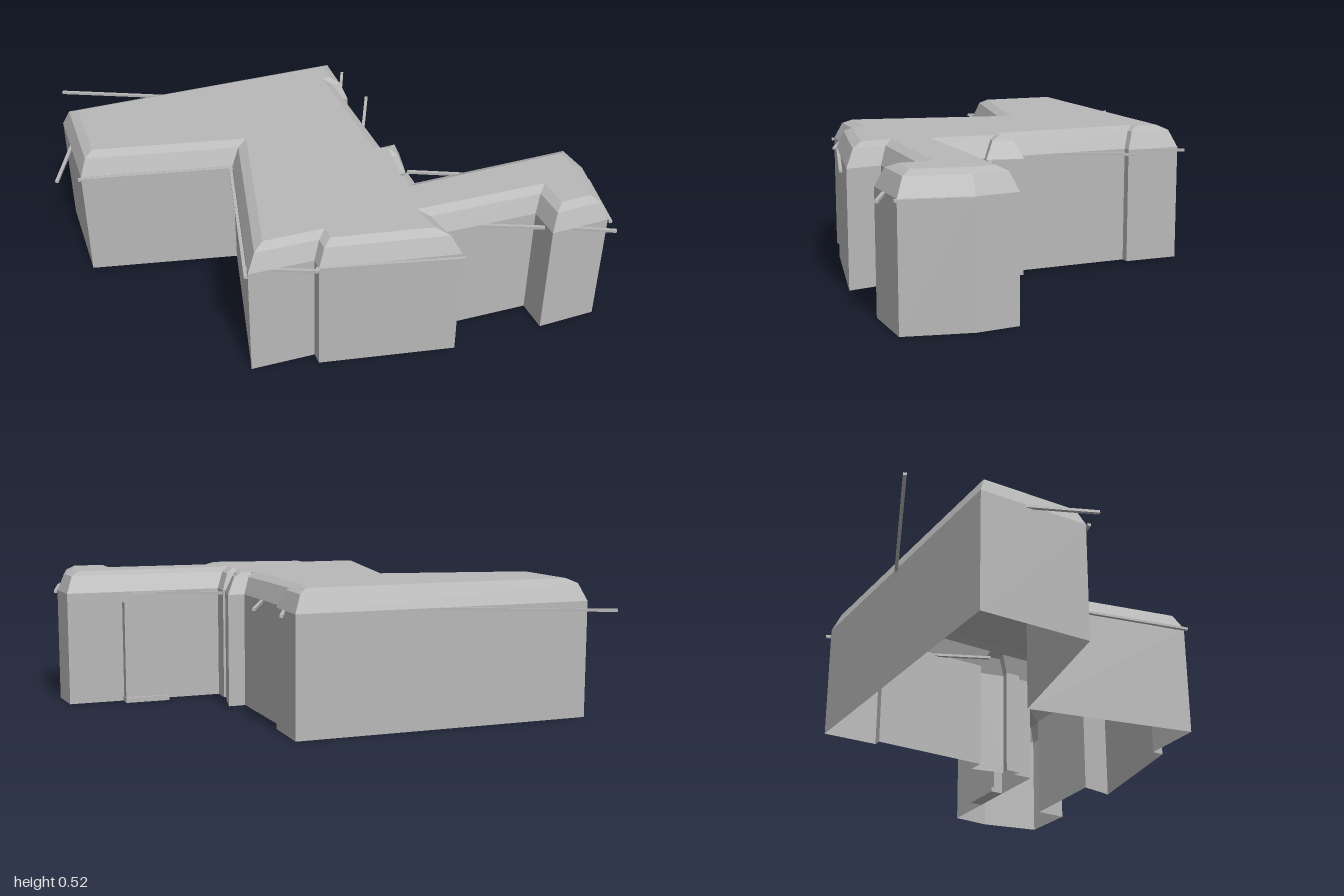
import * as THREE from 'three';

// Building outline on the ground as [x, z], inside lying to the right of travel
const OUTLINE = [
  [-0.985, -0.41], [0.145, -0.655], [0.185, -0.447], [0.155, -0.44],
  [0.255, 0.005], [0.32, -0.012], [0.32, 0.128], [0.282, 0.128],
  [0.295, 0.19], [0.325, 0.178], [0.34, 0.255], [0.94, 0.122],
  [0.985, 0.27], [0.985, 0.515], [0.765, 0.568], [0.737, 0.445],
  [0.37, 0.515], [0.42, 0.64], [-0.085, 0.652], [-0.095, 0.607],
  [-0.33, 0.652], [-0.33, -0.01], [-0.905, -0.01],
];
const EAVE = 0.44, BREAK = 0.505, TOP = 0.522;

// Unit normal pointing into the building for the edge a-b
function inward(a, b) {
  const dx = b[0] - a[0], dz = b[1] - a[1], l = Math.hypot(dx, dz);
  return [-dz / l, dx / l];
}

// Mitred inset of the outline
function inset(points, d) {
  const n = points.length;
  return points.map((p, i) => {
    const u = inward(points[(i + n - 1) % n], p);
    const v = inward(p, points[(i + 1) % n]);
    const k = d / (1 + u[0] * v[0] + u[1] * v[1]);
    return [p[0] + (u[0] + v[0]) * k, p[1] + (u[1] + v[1]) * k];
  });
}

// Closed band of flat quads between two rings
function band(low, y0, high, y1) {
  const pos = [];
  low.forEach((a, i) => {
    const j = (i + 1) % low.length, b = low[j], A = high[i], B = high[j];
    pos.push(a[0], y0, a[1], A[0], y1, A[1], b[0], y0, b[1]);
    pos.push(b[0], y0, b[1], A[0], y1, A[1], B[0], y1, B[1]);
  });
  const g = new THREE.BufferGeometry();
  g.setAttribute('position', new THREE.Float32BufferAttribute(pos, 3));
  g.computeVertexNormals();
  return g;
}

export function createModel() {
  const model = new THREE.Group();
  model.name = 'building';
  const grey = new THREE.MeshStandardMaterial({ color: 0xb8b8b8, side: THREE.DoubleSide });
  grey.name = 'plainGrey';
  const add = (name, geometry, parent = model) => {
    const mesh = new THREE.Mesh(geometry, grey);
    mesh.name = name;
    parent.add(mesh);
    return mesh;
  };

  // Walls, open underneath, and the two-pitch roof
  const ringA = inset(OUTLINE, 0.027), ringB = inset(OUTLINE, 0.06);
  add('walls', band(OUTLINE, 0, OUTLINE, EAVE));
  add('lowerRoof', band(OUTLINE, EAVE, ringA, BREAK));
  add('upperRoof', band(ringA, BREAK, ringB, TOP));
  const cap = new THREE.ShapeGeometry(
    new THREE.Shape(ringB.map(([x, z]) => new THREE.Vector2(x, -z))));
  add('flatRoof', cap.rotateX(-Math.PI / 2).translate(0, TOP, 0));

  // Thin bars at eave height, each crossing the middle of a long wall
  const bars = new THREE.Group();
  bars.name = 'eaveBars';
  model.add(bars);
  OUTLINE.forEach((a, i) => {
    const b = OUTLINE[(i + 1) % OUTLINE.length];
    const dx = b[0] - a[0], dz = b[1] - a[1], length = Math.hypot(dx, dz);
    if (length < 0.2) return;
    const n = inward(a, b);
    const bar = add('eaveBar', new THREE.BoxGeometry(length + 0.02, 0.01, 0.012), bars);
    bar.position.set((a[0] + b[0]) / 2 - n[0] * 0.008, 0.435, (a[1] + b[1]) / 2 - n[1] * 0.008);
    bar.rotation.y = Math.atan2(dz, dx);
  });

  // Shallow bay with clipped top corners and a low step, on the back of the wing
  const bay = new THREE.Group();
  bay.name = 'backBay';
  bay.position.set(0.645, 0, 0.187);
  bay.rotation.y = Math.atan2(0.133, 0.6);
  model.add(bay);
  const face = new THREE.Shape([
    [-0.085, 0], [0.085, 0], [0.085, 0.4], [0.045, 0.435], [-0.045, 0.435], [-0.085, 0.4],
  ].map(([x, y]) => new THREE.Vector2(x, y)));
  add('bayBody', new THREE.ExtrudeGeometry(face, { depth: 0.04, bevelEnabled: false }), bay)
    .position.z = -0.04;
  add('bayStep', new THREE.BoxGeometry(0.175, 0.02, 0.054), bay).position.set(0, 0.01, -0.027);

  return model;
}
